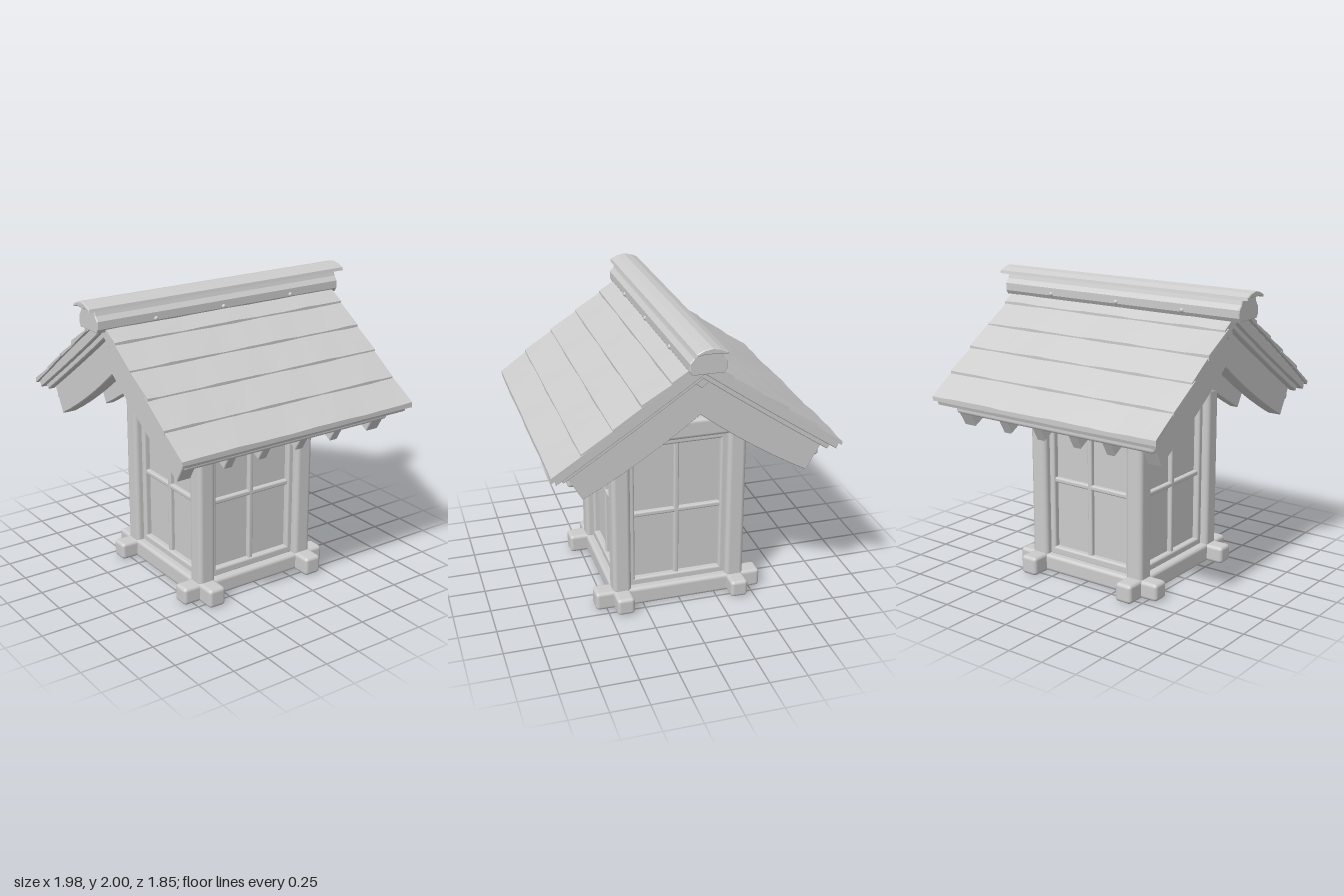
import * as THREE from 'three';
import { RoundedBoxGeometry } from 'three/addons/geometries/RoundedBoxGeometry.js';

const grey = new THREE.MeshStandardMaterial({ color: 0xcccccc, side: THREE.DoubleSide });

function add(parent, name, geometry, x = 0, y = 0, z = 0) {
  const mesh = new THREE.Mesh(geometry, grey);
  mesh.name = name;
  mesh.position.set(x, y, z);
  parent.add(mesh);
  return mesh;
}

// Softly worn timber given by its size and centre
function beam(parent, name, w, h, d, x, y, z, r = 0.015) {
  return add(parent, name, new RoundedBoxGeometry(w, h, d, 2, Math.min(r, w / 3, h / 3, d / 3)), x, y, z);
}

// Outline in the (z, y) plane extruded along x, centred on x
function extrudeX(parent, name, points, width, x = 0) {
  const shape = new THREE.Shape(points.map(([z, y]) => new THREE.Vector2(-z, y)));
  const g = new THREE.ExtrudeGeometry(shape, {
    depth: width - 0.01, bevelEnabled: true, bevelThickness: 0.005, bevelSize: 0.005, bevelOffset: -0.005, bevelSegments: 1,
  });
  g.translate(0, 0, -(width - 0.01) / 2);
  g.rotateY(Math.PI / 2);
  return add(parent, name, g, x);
}

// Gable-shaped band between an upper and a lower curve; the peak sits slightly to the back
function chevron(top, bottom, topEnd, bottomEnd) {
  const n = 6, front = [], back = [];
  for (let i = 0; i <= n; i++) front.push([topEnd * i / n, top(topEnd * i / n)]);
  for (let i = n; i >= 0; i--) front.push([bottomEnd * i / n, bottom(bottomEnd * i / n)]);
  for (let i = 2 * n; i >= 1; i--) back.push([-front[i][0], front[i][1]]);
  return [...front, ...back].map(([z, y]) => [z - 0.02 * (1 - Math.abs(z) / 0.95), y]);
}

const deckTop = d => 1.875 - 0.67 * d - 0.04 * d * d;
const deckBottom = d => 1.79 - 0.7 * d + 0.03 * d * d;
const rafterBottom = d => 1.5 - 0.77 * d + 0.17 * d * d;

// Overlapping plank running along x, with a slightly uneven surface
function plank(dLow, dHigh, seed) {
  const g = new THREE.BoxGeometry(1.77, 1, 1, 18, 1, 2);
  const p = g.attributes.position;
  for (let i = 0; i < p.count; i++) {
    const x = p.getX(i), t = p.getZ(i) + 0.5, up = p.getY(i) > 0;
    const wave = 0.006 * Math.sin(x * 9 + seed * 2.1) + 0.004 * Math.sin(x * 23 + seed * 5);
    const d = dHigh + (dLow - dHigh) * t;
    const lift = up ? 0.01 + 0.016 * t + wave * 0.5 * t : -0.005;
    p.setXYZ(i, x + 0.006 * Math.sin(seed * 3 + t), deckTop(d) + lift, d + wave * 0.3 * t);
  }
  g.computeVertexNormals();
  return g;
}

function buildRidge() {
  const ridge = new THREE.Group();
  ridge.name = 'ridge';
  ridge.position.z = -0.02;
  extrudeX(ridge, 'ridgeBody', [[0.1, 1.815], [0.115, 1.84], [0.115, 1.89], [0.09, 1.92],
    [0.075, 1.965], [-0.075, 1.965], [-0.09, 1.92], [-0.115, 1.89], [-0.115, 1.84], [-0.1, 1.815]], 1.87, -0.01);
  extrudeX(ridge, 'ridgeCap', [[0.1, 1.95], [0.095, 1.97], [0.05, 1.99], [0, 2], [-0.05, 1.99],
    [-0.095, 1.97], [-0.1, 1.95], [-0.05, 1.962], [0.05, 1.962]], 1.98);
  for (const x of [-0.53, -0.02, 0.52])
    for (const s of [-1, 1]) add(ridge, 'ridgePeg', new THREE.SphereGeometry(0.016, 10, 8), x, 1.85, s * 0.112);
  return ridge;
}

function buildRoof() {
  const roof = new THREE.Group();
  roof.name = 'roof';
  extrudeX(roof, 'roofDeck', chevron(deckTop, deckBottom, 0.905, 0.89), 1.73);

  // Rows of planks on both slopes
  const rows = [0.92, 0.74, 0.55, 0.37, 0.19, 0.03];
  for (const side of [0, 1]) {
    const slope = new THREE.Group();
    slope.name = side ? 'backSlope' : 'frontSlope';
    slope.rotation.y = side * Math.PI;
    for (let i = 0; i < 5; i++)
      add(slope, 'roofPlank', plank(rows[i], Math.max(rows[i + 1] - 0.03, 0), i + 6 * side));
    beam(slope, 'eaveFascia', 1.58, 0.08, 0.07, 0, 1.165, 0.77, 0.02);
    roof.add(slope);
  }

  // Bargeboards at the gables and rafters between them
  const rib = chevron(d => deckBottom(d) + 0.02, rafterBottom, 0.84, 0.72);
  for (const s of [-1, 1]) {
    extrudeX(roof, 'bargeboard', rib, 0.1, s * 0.74);
    extrudeX(roof, 'gablePendant', [[0.03, 1.77], [0.03, 1.72], [-0.02, 1.68], [-0.07, 1.72], [-0.07, 1.77]], 0.05, s * 0.785);
    extrudeX(roof, 'bargeTrim', chevron(d => deckBottom(d) + 0.02, d => deckBottom(d) - 0.04, 0.87, 0.84), 0.05, s * 0.81);
  }
  for (const x of [-0.42, -0.16, 0.13, 0.41]) extrudeX(roof, 'rafter', rib, 0.065, x);
  beam(roof, 'ridgePurlin', 1.45, 0.13, 0.09, 0, 1.57, -0.02);

  roof.add(buildRidge());
  return roof;
}

// One paned wall facing +z
function buildWall() {
  const wall = new THREE.Group();
  wall.name = 'windowWall';
  beam(wall, 'windowPane', 0.7, 1.08, 0.02, 0, 0.66, 0.355);
  for (const s of [-1, 1]) beam(wall, 'frameStile', 0.05, 1.04, 0.06, s * 0.318, 0.65, 0.375);
  beam(wall, 'frameBottom', 0.68, 0.06, 0.06, 0, 0.145, 0.375);
  beam(wall, 'frameTop', 0.68, 0.06, 0.06, 0, 1.165, 0.375);
  beam(wall, 'verticalBar', 0.035, 1.0, 0.04, -0.005, 0.65, 0.375);
  beam(wall, 'horizontalBar', 0.62, 0.035, 0.04, 0, 0.65, 0.375);
  return wall;
}

export function createModel() {
  const model = new THREE.Group();
  model.name = 'shrineLantern';

  // Crossed base logs and raised floor
  for (const s of [-1, 1]) {
    beam(model, 'baseBeamAcross', 1.14, 0.12, 0.12, -0.005, 0.065, s * 0.395, 0.025);
    beam(model, 'baseBeamDeep', 0.125, 0.13, 1.15, s * 0.395, 0.065, 0, 0.025);
  }
  beam(model, 'floor', 0.72, 0.03, 0.72, 0, 0.11, 0);

  // Corner posts
  for (const x of [-1, 1])
    for (const z of [-1, 1]) beam(model, 'cornerPost', 0.125, 1.14, 0.125, x * 0.392, 0.67, z * 0.392, 0.03);

  // Four window walls
  for (let i = 0; i < 4; i++) {
    const wall = buildWall();
    wall.rotation.y = i * Math.PI / 2;
    model.add(wall);
  }

  // Lintels, gable king posts and ceiling
  for (const s of [-1, 1]) {
    beam(model, 'sideLintel', 0.12, 0.13, 0.7, s * 0.39, 1.245, 0, 0.025);
    beam(model, 'eaveLintel', 0.74, 0.14, 0.12, 0, 1.2, s * 0.39, 0.025);
    extrudeX(model, 'kingPost', [[0.1, 1.29], [0.07, 1.33], [0.06, 1.4], [0.06, 1.56],
      [-0.07, 1.56], [-0.07, 1.4], [-0.08, 1.33], [-0.11, 1.29]], 0.1, s * 0.39);
  }
  beam(model, 'ceiling', 0.72, 0.03, 0.72, 0, 1.2, 0);

  model.add(buildRoof());
  return model;
}
